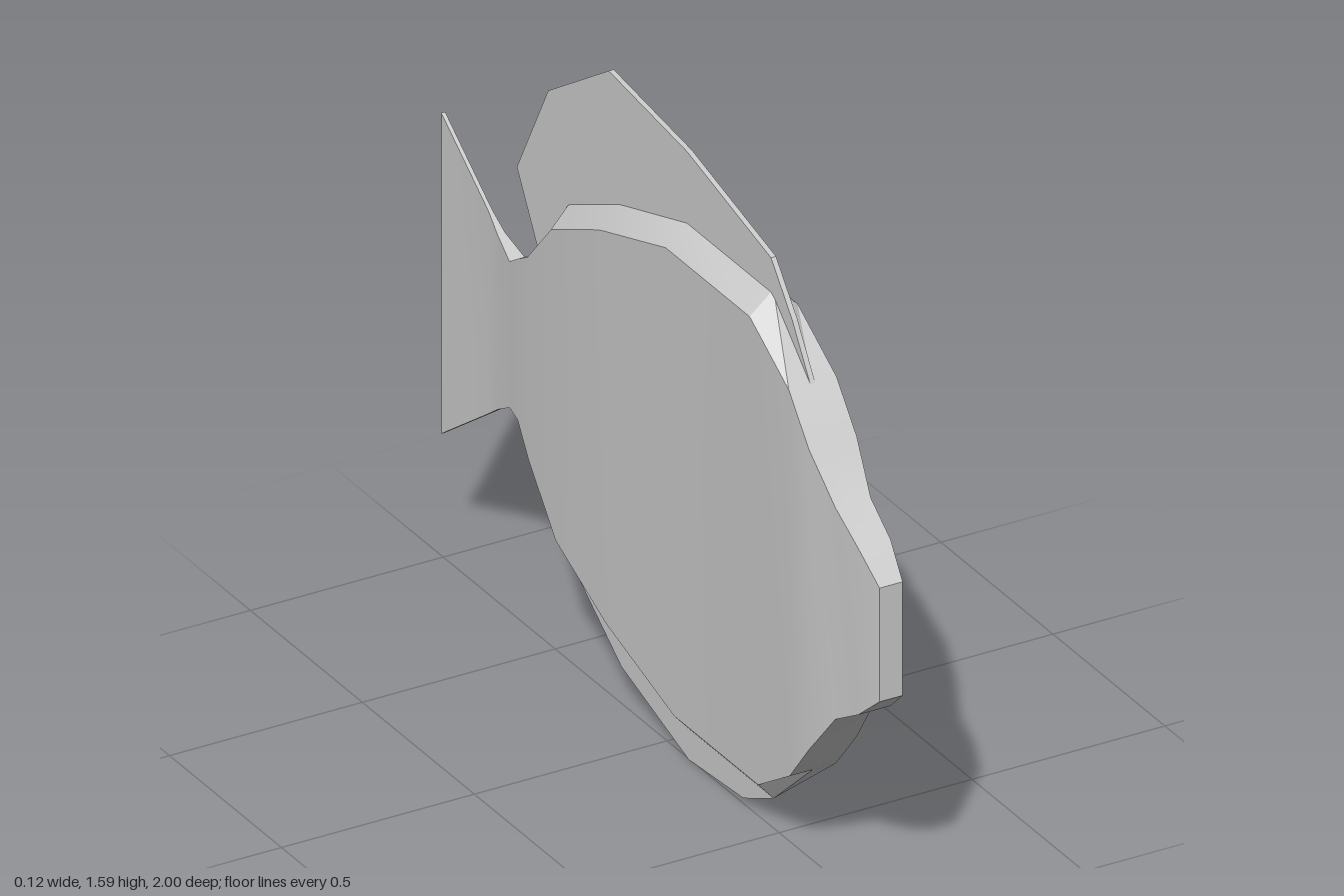
import * as THREE from 'three';
import { toCreasedNormals } from 'three/addons/utils/BufferGeometryUtils.js';

const material = new THREE.MeshStandardMaterial({ color: 0xcccccc });

// Cross-sections from nose to tail:
// [z, ridge top, shoulder top, shoulder bottom, ridge bottom, half width top, half width bottom]
const bodySections = [
  [1.0, 0.87, 0.87, 0.58, 0.58, 0.03, 0.03],
  [0.925, 0.94, 0.94, 0.515, 0.515, 0.042, 0.042],
  [0.83, 1.0, 1.0, 0.46, 0.46, 0.046, 0.046],
  [0.74, 1.11, 1.11, 0.345, 0.345, 0.062, 0.062],
  [0.65, 1.22, 1.22, 0.235, 0.235, 0.062, 0.06],
  [0.475, 1.378, 1.325, 0.125, 0.08, 0.062, 0.04],
  [0.1, 1.378, 1.325, 0.125, 0.08, 0.062, 0.04],
  [-0.2, 1.285, 1.23, 0.22, 0.175, 0.061, 0.042],
  [-0.43, 1.178, 1.12, 0.325, 0.27, 0.052, 0.04],
  [-0.56, 0.985, 0.985, 0.47, 0.47, 0.037, 0.035],
  [-0.62, 0.95, 0.95, 0.54, 0.54, 0.028, 0.028],
  [-0.67, 0.918, 0.918, 0.545, 0.545, 0.02, 0.02],
];
const tailSections = [
  bodySections[bodySections.length - 1],
  [-0.74, 0.95, 0.95, 0.505, 0.505, 0.01, 0.01],
  [-0.79, 0.987, 0.987, 0.469, 0.469, 0.005, 0.005],
  [-1.0, 1.138, 1.138, 0.32, 0.32, 0.005, 0.005],
];

// Joins six-sided cross-sections into a closed hull
function loft(name, sections) {
  const positions = [];
  const index = [];
  for (const [z, top, shoulder, belly, bottom, w, wb] of sections) {
    positions.push(0, top, z, w, shoulder, z, wb, belly, z);
    positions.push(0, bottom, z, -wb, belly, z, -w, shoulder, z);
  }
  const last = (sections.length - 1) * 6;
  for (let s = 0; s < last; s += 6) {
    for (let j = 0; j < 6; j++) {
      const k = (j + 1) % 6;
      index.push(s + j, s + k, s + 6 + k, s + j, s + 6 + k, s + 6 + j);
    }
  }
  for (let j = 1; j < 5; j++) {
    index.push(0, j + 1, j, last, last + j, last + j + 1);
  }
  const geometry = new THREE.BufferGeometry();
  geometry.setAttribute('position', new THREE.Float32BufferAttribute(positions, 3));
  geometry.setIndex(index);
  const mesh = new THREE.Mesh(toCreasedNormals(geometry, 0.4), material);
  mesh.name = name;
  return mesh;
}

// Thin upright plate from a [z, y] outline
function fin(name, outline, thickness) {
  const shape = new THREE.Shape(outline.map(([z, y]) => new THREE.Vector2(z, y)));
  const geometry = new THREE.ExtrudeGeometry(shape, { depth: thickness, bevelEnabled: false });
  geometry.translate(0, 0, -thickness / 2);
  geometry.rotateY(-Math.PI / 2);
  const mesh = new THREE.Mesh(geometry, material);
  mesh.name = name;
  return mesh;
}

export function createModel() {
  const fish = new THREE.Group();
  fish.name = 'fish';
  fish.add(loft('body', bodySections), loft('tailFin', tailSections));

  // Fins along the back and belly, rooted inside the body
  fish.add(fin('dorsalFin', [
    [0.65, 1.22], [0.57, 1.345], [0.475, 1.46], [0.1, 1.555], [-0.25, 1.597],
    [-0.52, 1.42], [-0.66, 1.16], [-0.56, 0.985], [-0.4, 1.08], [0.1, 1.25], [0.45, 1.25],
  ], 0.013));
  fish.add(fin('ventralFin', [
    [0.475, 0.08], [0.345, 0.02], [0.1, 0.004], [-0.2, 0.1], [-0.41, 0.25],
    [-0.56, 0.47], [-0.4, 0.4], [-0.15, 0.25], [0.1, 0.16], [0.4, 0.16],
  ], 0.005));
  return fish;
}
